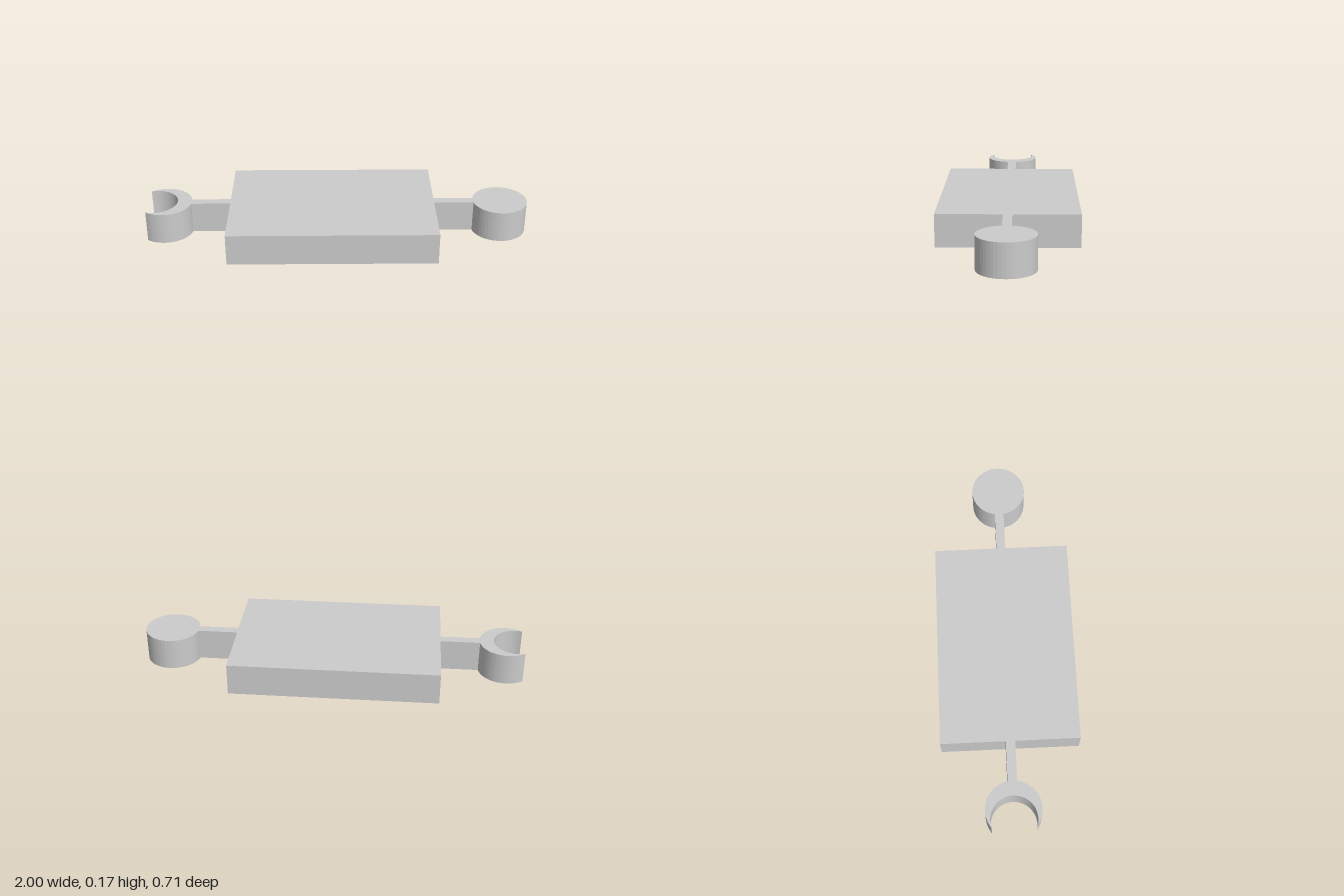
import * as THREE from 'three';

const HEIGHT = 0.167;
const RADIUS = 0.143; // both end connectors
const material = new THREE.MeshStandardMaterial({ color: 0xcccccc, flatShading: true });

function addPart(group, name, geometry, x, y = HEIGHT / 2) {
  const mesh = new THREE.Mesh(geometry, material);
  mesh.name = name;
  mesh.position.set(x, y, 0);
  group.add(mesh);
}

// Box of full height between two x positions
function addBlock(group, name, x0, x1, depth) {
  addPart(group, name, new THREE.BoxGeometry(x1 - x0, HEIGHT, depth), (x0 + x1) / 2);
}

// Disc with a smaller offset disc cut away, leaving a crescent
function crescentGeometry(outer, inner, offset) {
  const tipX = -(offset ** 2 + outer ** 2 - inner ** 2) / (2 * offset);
  const tipY = Math.sqrt(outer ** 2 - tipX ** 2);
  const a = Math.atan2(tipY, tipX);
  const b = Math.atan2(tipY, tipX + offset);
  const shape = new THREE.Shape();
  shape.absarc(0, 0, outer, -a, a, false);
  shape.absarc(-offset, 0, inner, b, -b, true);
  const geometry = new THREE.ExtrudeGeometry(shape, { depth: HEIGHT, bevelEnabled: false, curveSegments: 20 });
  return geometry.rotateX(-Math.PI / 2);
}

export function createModel() {
  const group = new THREE.Group();
  group.name = 'linkPlate';

  // Main slab
  addBlock(group, 'body', -0.567, 0.508, 0.714);

  // Thin necks, reaching just inside the connectors
  addBlock(group, 'leftNeck', 0.508, 0.72, 0.048);
  addBlock(group, 'rightNeck', -0.775, -0.567, 0.048);

  // Round plug and the open socket that receives it
  addPart(group, 'plug', new THREE.CylinderGeometry(RADIUS, RADIUS, HEIGHT, 48), 0.857);
  addPart(group, 'socket', crescentGeometry(RADIUS, 0.119, 0.0515), -0.913, 0);

  return group;
}
